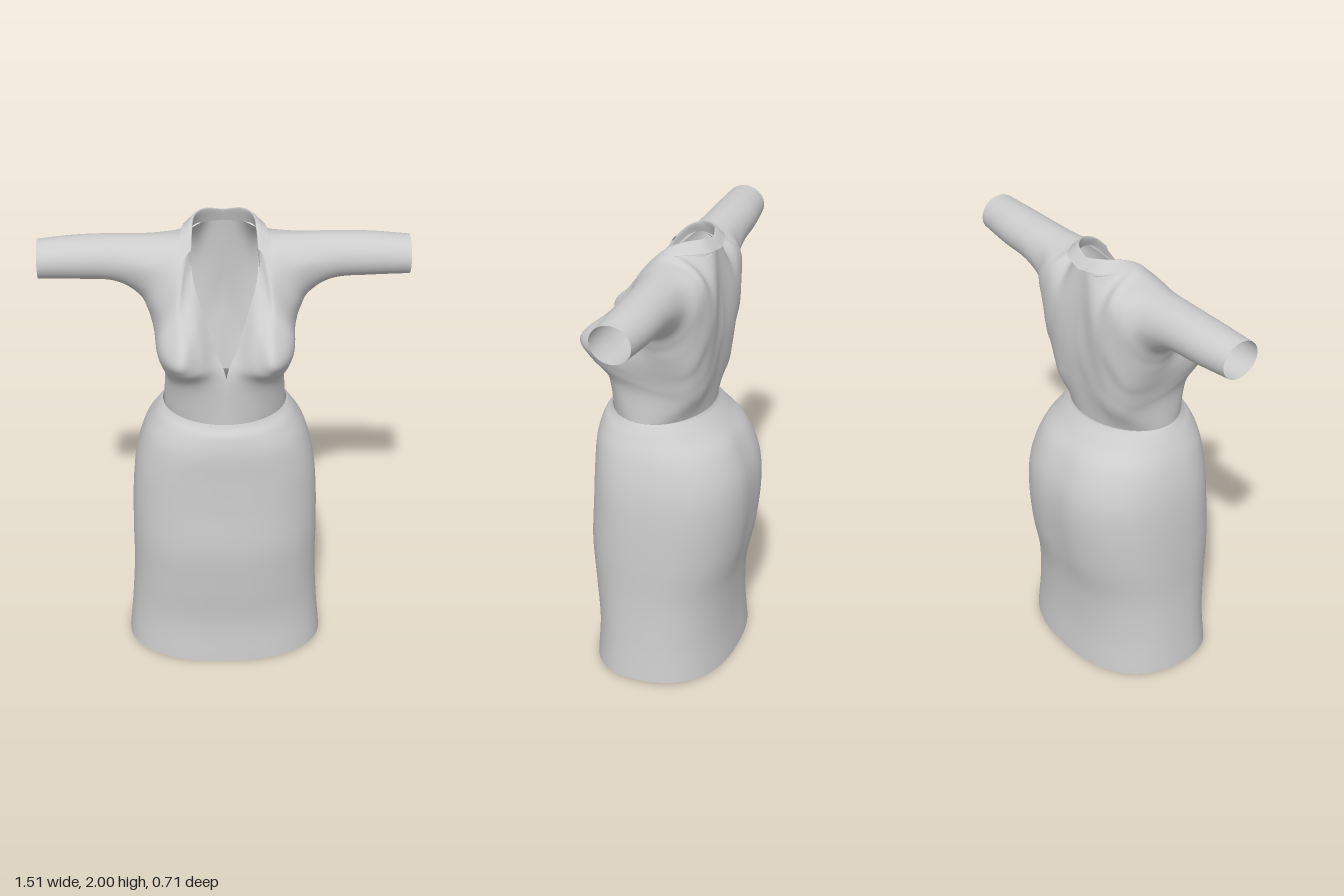
import * as THREE from 'three';
import { mergeVertices, mergeGeometries } from 'three/addons/utils/BufferGeometryUtils.js';

const curve = (pts, closed = false) => new THREE.CatmullRomCurve3(pts, closed, 'catmullrom', 0.5);
const toPoints = (n) => {
  const pts = [];
  for (let i = 0; i < n.length; i += 3) pts.push(new THREE.Vector3(n[i], n[i + 1], n[i + 2]));
  return pts;
};

// Smooth surface through sections that all have the same number of points
function loft(sections, rows, adjust) {
  const cols = sections[0].length;
  const lines = sections[0].map((_, u) => curve(sections.map((s) => s[u])).getPoints(rows));
  if (adjust) adjust(lines);
  const pos = [], index = [];
  for (let v = 0; v <= rows; v++) for (let u = 0; u < cols; u++) pos.push(...lines[u][v].toArray());
  for (let v = 0; v < rows; v++) {
    for (let u = 0; u < cols - 1; u++) {
      const a = v * cols + u, b = a + 1, c = a + cols, d = c + 1;
      index.push(a, c, b, b, c, d);
    }
  }
  const g = new THREE.BufferGeometry();
  g.setAttribute('position', new THREE.Float32BufferAttribute(pos, 3));
  g.setIndex(index);
  return g;
}

function finish(g) {
  const welded = mergeVertices(g, 1e-4);
  welded.computeVertexNormals();
  return welded;
}

// Joins a half with its mirror image across x = 0
function mirrored(half) {
  const other = half.clone().scale(-1, 1, 1);
  const ix = other.index.array;
  for (let i = 0; i < ix.length; i += 3) [ix[i], ix[i + 1]] = [ix[i + 1], ix[i]];
  return finish(mergeGeometries([half, other]));
}

// Sections run from the top, down the front, under the arm and up the back
const SHOULDER = [
  [.30, 1.925, -.04, .30, 1.90, .03, .32, 1.83, .075, .335, 1.73, .055,
    .35, 1.675, -.02, .345, 1.71, -.11, .33, 1.80, -.155, .31, 1.89, -.125],
  [.19, 1.93, -.03, .20, 1.89, .06, .235, 1.80, .105, .29, 1.68, .09,
    .315, 1.61, -.01, .305, 1.65, -.12, .27, 1.76, -.185, .22, 1.88, -.165],
  [.145, 1.945, -.04, .16, 1.87, .075, .20, 1.76, .15, .265, 1.64, .14,
    .30, 1.56, 0, .285, 1.58, -.13, .235, 1.70, -.195, .17, 1.86, -.185],
];
// Sections from the neckline, over the bust, round the side to the back
const BODY = [
  [.13, 1.80, .10, .16, 1.73, .165, .205, 1.65, .235, .275, 1.57, .205,
    .285, 1.50, .02, .265, 1.50, -.135, .21, 1.61, -.20, .13, 1.75, -.21, .075, 1.93, -.16],
  [.09, 1.67, .17, .125, 1.61, .265, .19, 1.545, .352, .27, 1.51, .235,
    .272, 1.45, .03, .25, 1.45, -.13, .19, 1.53, -.19, .10, 1.66, -.21, 0, 1.93, -.175],
  [.045, 1.54, .225, .10, 1.50, .31, .175, 1.475, .335, .25, 1.45, .23,
    .26, 1.40, .035, .24, 1.39, -.12, .18, 1.43, -.18, .09, 1.50, -.198, 0, 1.62, -.202],
  [0, 1.42, .265, .075, 1.405, .275, .15, 1.39, .26, .22, 1.36, .185,
    .25, 1.34, .04, .23, 1.33, -.105, .17, 1.34, -.165, .085, 1.38, -.185, 0, 1.44, -.188],
];

function makeBodice() {
  const U = 48, ROWS = 80;
  const sleeve = [[.755, 1.833, .079, -.03, .086], [.6, 1.834, .088, -.04, .096], [.45, 1.83, .095, -.042, .1]];
  const sections = sleeve.map(([x, y, ry, z, rz]) => Array.from({ length: U + 1 }, (_, i) => {
    const a = i / U * Math.PI * 2;
    return new THREE.Vector3(x, y + ry * Math.cos(a), z + rz * Math.sin(a));
  }));
  SHOULDER.forEach((s) => sections.push(curve(toPoints(s), true).getPoints(U)));
  BODY.forEach((s) => sections.push(curve(toPoints(s)).getPoints(U)));
  // Waist edge
  sections.push(Array.from({ length: U + 1 }, (_, i) => {
    const a = i / U * Math.PI, c = Math.cos(a);
    return new THREE.Vector3(.255 * Math.sin(a), 1.22 - .015 * c, .05 + .215 * c);
  }));
  const half = loft(sections, ROWS, (lines) => {
    const front = lines[0], back = lines[U];
    // Close the shoulder seam as far as the neck
    for (let v = 0; v <= ROWS / 2; v++) {
      front[v].lerp(back[v], 0.5);
      back[v].copy(front[v]);
    }
    // Keep the centre edges on the middle plane
    for (const l of lines) for (const p of l) p.x = Math.max(0, p.x);
  });
  return mirrored(half);
}

function makeCollar() {
  const base = [.14, 1.83, .085, .14, 1.93, -.02, .12, 1.94, -.10, .07, 1.93, -.155, 0, 1.93, -.17];
  const fold = [.135, 1.90, .06, .13, 1.96, 0, .12, 1.995, -.07, .075, 2.0, -.13, 0, 1.985, -.155];
  const edge = [.185, 1.845, .105, .178, 1.94, .0, .158, 1.957, -.09, .10, 1.957, -.168, 0, 1.945, -.193];
  return mirrored(loft([base, fold, edge].map((s) => curve(toPoints(s)).getPoints(24)), 12));
}

function makeSkirt() {
  // height, half width, front z, back z, squareness
  const rings = [
    [0, .432, .315, -.30, 2.4], [.2, .415, .306, -.286, 2.4], [.4, .403, .325, -.295, 2.4],
    [.6, .402, .34, -.335, 2.4], [.8, .396, .33, -.355, 2.4], [.95, .38, .325, -.345, 2.4],
    [1.08, .345, .323, -.295, 2.3], [1.16, .305, .305, -.225, 2.1], [1.205, .275, .28, -.178, 2], [1.222, .26, .27, -.168, 2],
  ];
  const U = 72;
  const power = (t, n) => Math.sign(t) * Math.abs(t) ** (2 / n);
  const sections = rings.map(([y, w, f, b, n], k) => Array.from({ length: U + 1 }, (_, i) => {
    const a = i / U * Math.PI * 2, s = power(Math.sin(a), n);
    const x = w * power(Math.cos(a), n);
    let z = .05 + s * (s > 0 ? f - .05 : .05 - b);
    // Soft hollow down the middle of the seat
    if (s < 0 && y > .5 && y < 1.1) z += .01 * Math.exp(-((x / .07) ** 2));
    const tilt = k > 7 ? -.012 * s : 0;
    const hem = k === 0 ? .018 * Math.cos(a) ** 2 : 0;
    return new THREE.Vector3(x, y + tilt + hem, z);
  }));
  return finish(loft(sections, 60));
}

export function createModel() {
  const cloth = new THREE.MeshStandardMaterial({ color: 0xcccccc, side: THREE.DoubleSide });
  cloth.name = 'light grey cloth';
  const model = new THREE.Group();
  model.name = 'dress';
  const parts = { bodice: makeBodice(), collar: makeCollar(), skirt: makeSkirt() };
  for (const [name, geometry] of Object.entries(parts)) {
    const mesh = new THREE.Mesh(geometry, cloth);
    mesh.name = name;
    model.add(mesh);
  }
  return model;
}
